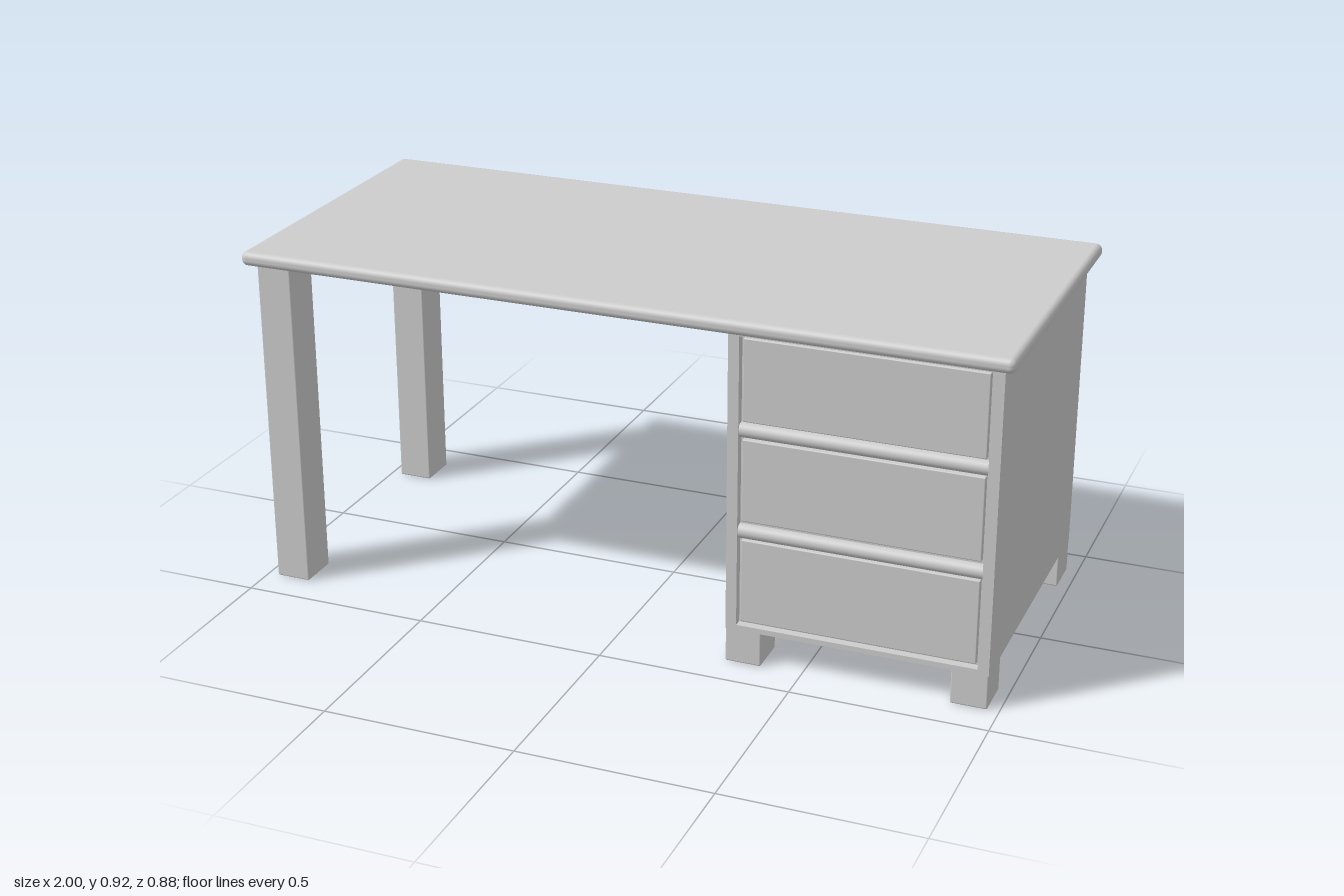
import * as THREE from 'three';
import { RoundedBoxGeometry } from 'three/addons/geometries/RoundedBoxGeometry.js';

export function createModel() {
  const desk = new THREE.Group();
  desk.name = 'desk';
  const grey = new THREE.MeshStandardMaterial({ color: 0xcccccc });
  grey.name = 'grey';

  const add = (name, geometry, x = 0, y = 0, z = 0) => {
    const mesh = new THREE.Mesh(geometry, grey);
    mesh.name = name;
    mesh.position.set(x, y, z);
    desk.add(mesh);
    return mesh;
  };
  // Box given by its limits, with softened edges when r > 0
  const block = (name, x0, x1, y0, y1, z0, z1, r = 0, seg = 2) => {
    const size = [x1 - x0, y1 - y0, z1 - z0];
    const geometry = r ? new RoundedBoxGeometry(...size, seg, r) : new THREE.BoxGeometry(...size);
    return add(name, geometry, (x0 + x1) / 2, (y0 + y1) / 2, (z0 + z1) / 2);
  };

  // Worktop with rounded rim
  block('worktop', -1, 1, 0.878, 0.915, -0.44, 0.44, 0.016, 4);

  // Two tall legs on one side, four short feet under the cabinet
  for (const [end, z0] of [['front', 0.297], ['back', -0.406]]) {
    const z1 = z0 + 0.109;
    block(end + 'Leg', -0.972, -0.879, 0, 0.88, z0, z1, 0.004);
    block(end + 'InnerFoot', 0.3, 0.393, 0, 0.095, z0, z1, 0.004);
    block(end + 'OuterFoot', 0.877, 0.97, 0, 0.095, z0, z1, 0.004);
  }

  // Cabinet body and the raised frame around its drawers
  block('cabinet', 0.3, 0.97, 0.09, 0.88, -0.406, 0.384);
  const rect = (path, x0, x1, y0, y1) =>
    path.moveTo(x0, y0).lineTo(x1, y0).lineTo(x1, y1).lineTo(x0, y1).closePath();
  const outline = rect(new THREE.Shape(), 0.3, 0.97, 0.09, 0.88);
  outline.holes.push(rect(new THREE.Path(), 0.328, 0.942, 0.104, 0.867));
  add('drawerFrame', new THREE.ExtrudeGeometry(outline, { depth: 0.022, bevelEnabled: false }), 0, 0, 0.384);

  // Recessed drawer fronts
  for (const [y0, y1] of [[0.112, 0.334], [0.384, 0.6], [0.646, 0.86]]) {
    block('drawerFront', 0.335, 0.935, y0, y1, 0.38, 0.398, 0.003);
  }

  // Rounded rails between drawers
  for (const y of [0.355, 0.622]) {
    const rail = add('drawerRail', new THREE.CylinderGeometry(0.019, 0.019, 0.614, 24), 0.635, y, 0.386);
    rail.rotation.z = Math.PI / 2;
  }
  return desk;
}
